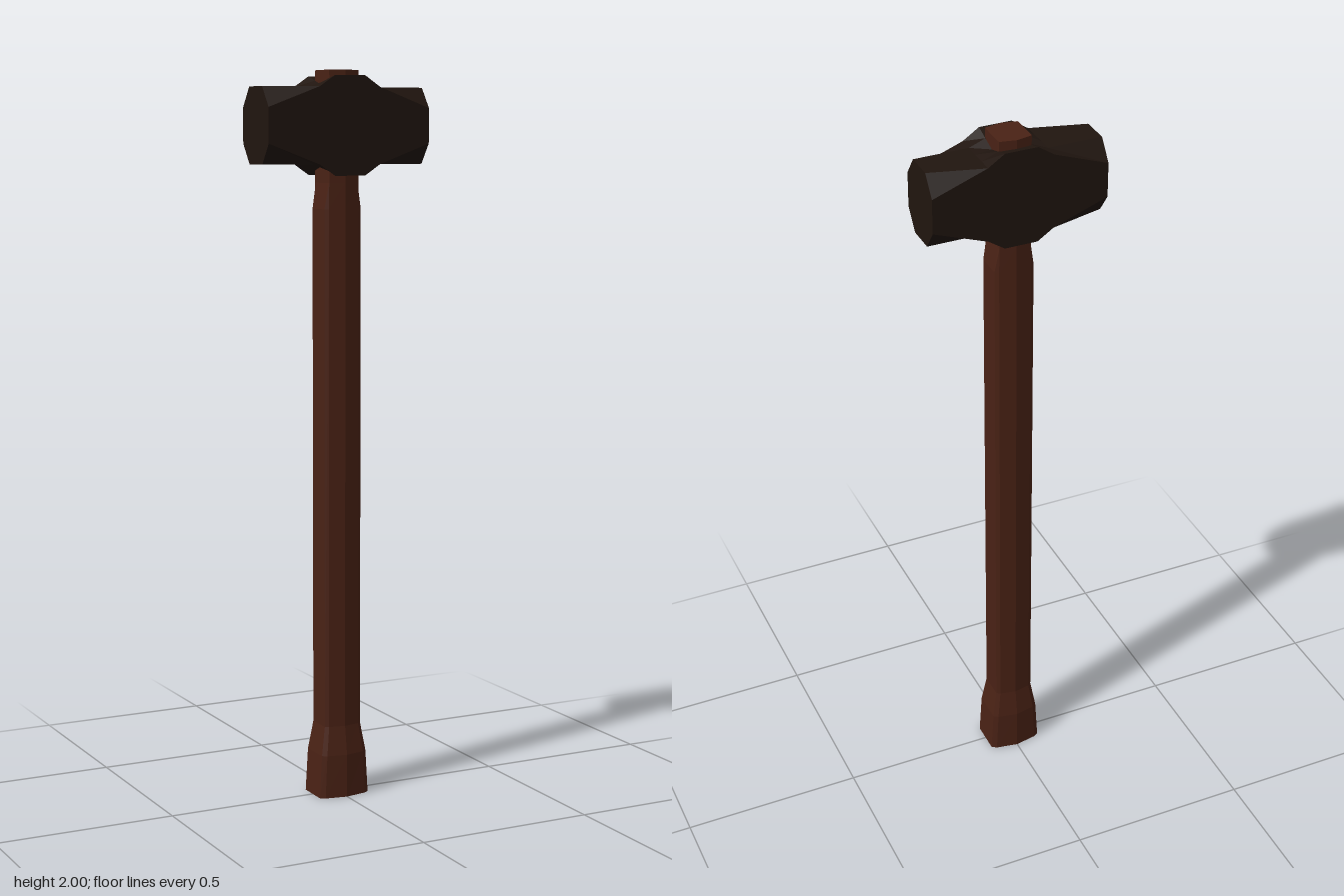
import * as THREE from 'three';

// Skin a list of rings (each counter-clockwise about the travel direction) and cap both ends
function loft(rings) {
  const pos = [];
  const tri = (...pts) => pts.forEach((p) => pos.push(p.x, p.y, p.z));
  const n = rings[0].length;
  for (let i = 0; i < rings.length - 1; i++) {
    for (let j = 0; j < n; j++) {
      const k = (j + 1) % n;
      const [a, b, c, d] = [rings[i][j], rings[i][k], rings[i + 1][k], rings[i + 1][j]];
      tri(a, b, c);
      tri(a, c, d);
    }
  }
  const first = rings[0], last = rings[rings.length - 1];
  for (let j = 1; j < n - 1; j++) {
    tri(first[0], first[j + 1], first[j]);
    tri(last[0], last[j], last[j + 1]);
  }
  const geo = new THREE.BufferGeometry();
  geo.setAttribute('position', new THREE.Float32BufferAttribute(pos, 3));
  geo.computeVertexNormals();
  return geo;
}

function part(name, geometry, color) {
  const mesh = new THREE.Mesh(geometry, new THREE.MeshStandardMaterial({ color, flatShading: true }));
  mesh.name = name;
  return mesh;
}

export function createModel() {
  const group = new THREE.Group();
  group.name = 'sledgehammer';

  // Handle: faceted shaft with a flared grip and a narrowed neck
  // [y, half width, half depth]
  const handleProfile = [
    [0, 0.075, 0.065], [0.12, 0.068, 0.064], [0.2, 0.055, 0.052],
    [1.63, 0.055, 0.052], [1.7, 0.045, 0.052], [2, 0.045, 0.052],
  ];
  const handleRings = handleProfile.map(([y, w, d]) => {
    const inner = Math.min(w, Math.max(0.044, w * 0.82)); // chamfer fades out at the neck
    const quarter = [[inner, d * 0.83], [w, d * 0.69]];
    const half = [[0, d], ...quarter, ...quarter.map(([x, z]) => [x, -z]).reverse()];
    return [...half, ...half.map(([x, z]) => [-x, -z])].map(([x, z]) => new THREE.Vector3(x, y, z));
  });
  group.add(part('handle', loft(handleRings), 0x4a2215));

  // Head: chamfered octagonal ends swelling to raised cheeks round the handle
  // [x, then top and bottom heights at the cheek, shoulder and centre line]
  const headHalf = [
    [0.045, [1.985, 1.9725, 1.96], [1.72, 1.7325, 1.745]],
    [0.09, [1.955, 1.955, 1.955], [1.75, 1.75, 1.75]],
    [0.24, [1.9, 1.955, 1.955], [1.805, 1.75, 1.75]],
  ];
  const headSections = [
    ...headHalf.map(([x, t, b]) => [-x, t, b]).reverse(),
    ...headHalf,
  ];
  const depths = [-0.08, -0.04, 0, 0.04, 0.08];
  const headRings = headSections.map(([x, top, bottom]) => {
    const row = (h) => depths.map((z, i) => new THREE.Vector3(x, h[Math.min(i, 4 - i)], z));
    return [...row(top), ...row(bottom).reverse()];
  });
  group.add(part('head', loft(headRings), 0x20150f));

  return group;
}
